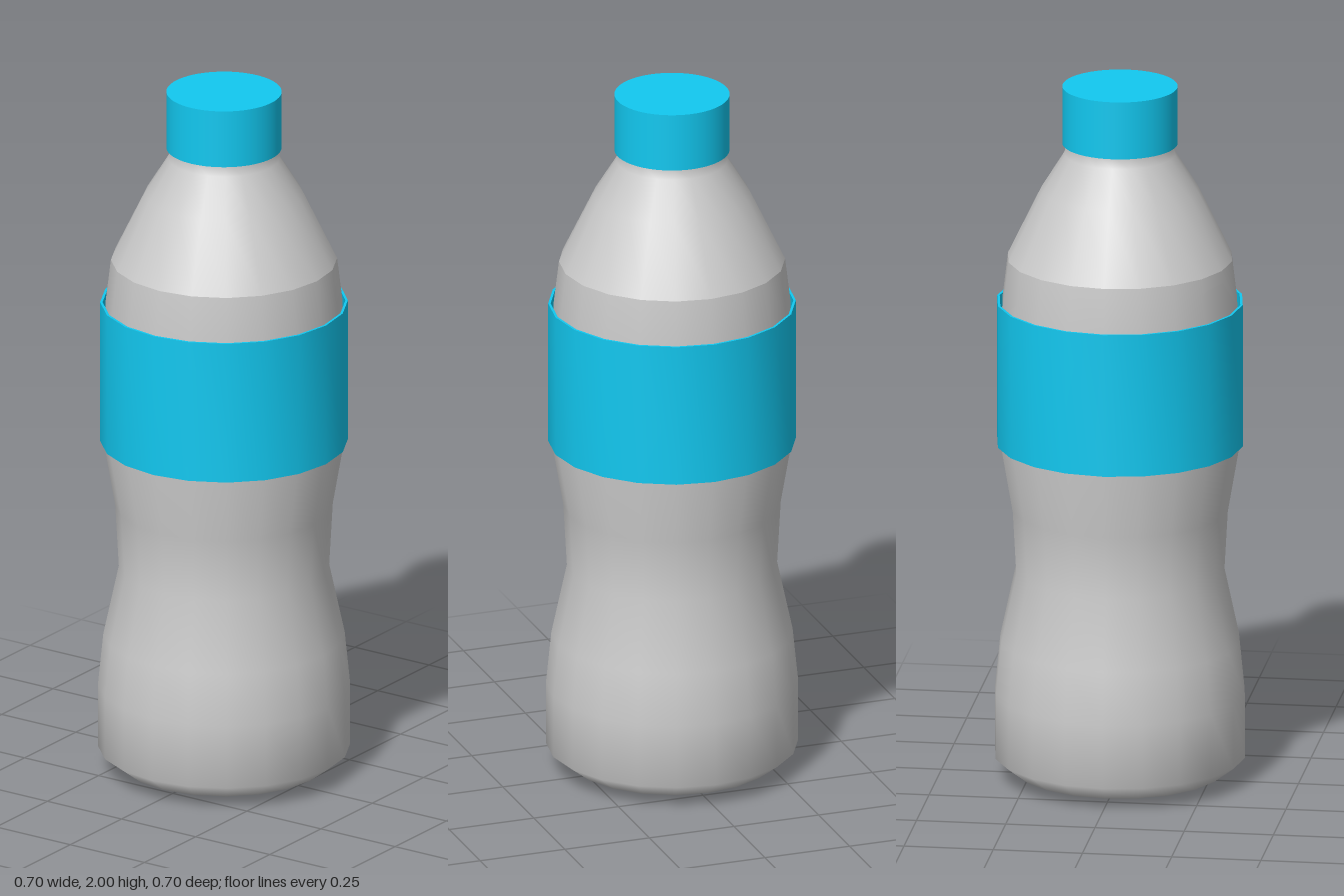
import * as THREE from 'three';
import { toCreasedNormals } from 'three/addons/utils/BufferGeometryUtils.js';

const SIDES = 20;
const grey = new THREE.MeshStandardMaterial({ color: 0xcccccc });
const cyan = new THREE.MeshStandardMaterial({ color: 0x12c8f0 });
const blue = new THREE.MeshStandardMaterial({ color: 0x7478bc });

// Turned shape from [radius, height] pairs, listed from bottom to top
function turned(name, profile, material, creased = false) {
  let geometry = new THREE.LatheGeometry(profile.map(([r, y]) => new THREE.Vector2(r, y)), SIDES);
  if (creased) geometry = toCreasedNormals(geometry, Math.PI / 5);
  const mesh = new THREE.Mesh(geometry, material);
  mesh.name = name;
  return mesh;
}

export function createModel() {
  const bottle = new THREE.Group();
  bottle.name = 'bottle';

  // Bottle shell: separate pieces keep the base rim and shoulder line sharp
  const shell = new THREE.Group();
  shell.name = 'shell';
  shell.add(
    turned('base', [[0, 0.022], [0.29, 0.022]], grey),
    turned('body', [
      [0.29, 0.022], [0.35, 0.068], [0.35, 0.25], [0.335, 0.4], [0.292, 0.6],
      [0.302, 0.78], [0.333, 0.96], [0.336, 1.15], [0.329, 1.38], [0.314, 1.505],
    ], grey),
    turned('shoulder', [
      [0.314, 1.505], [0.22, 1.7], [0.155, 1.805], [0.149, 1.84], [0.149, 1.95],
    ], grey),
  );

  // Sleeve around the middle, a thin closed ring
  const label = turned('label', [
    [0.337, 0.97], [0.344, 0.97], [0.344, 1.38], [0.337, 1.38], [0.337, 0.97],
  ], cyan, true);

  // Screw cap
  const cap = new THREE.Mesh(new THREE.CylinderGeometry(0.16, 0.16, 0.165, 64), cyan);
  cap.name = 'cap';
  cap.position.y = 1.9175;

  // Liquid filling, its rounded bottom just showing under the base
  const liquid = turned('liquid', [
    [0, 0], [0.1, 0.006], [0.18, 0.02], [0.24, 0.06], [0.27, 0.15],
    [0.27, 0.35], [0.23, 0.6], [0.24, 0.8], [0, 0.8],
  ], blue);
  liquid.position.set(-0.025, 0, 0.02);

  bottle.add(shell, label, cap, liquid);
  return bottle;
}
